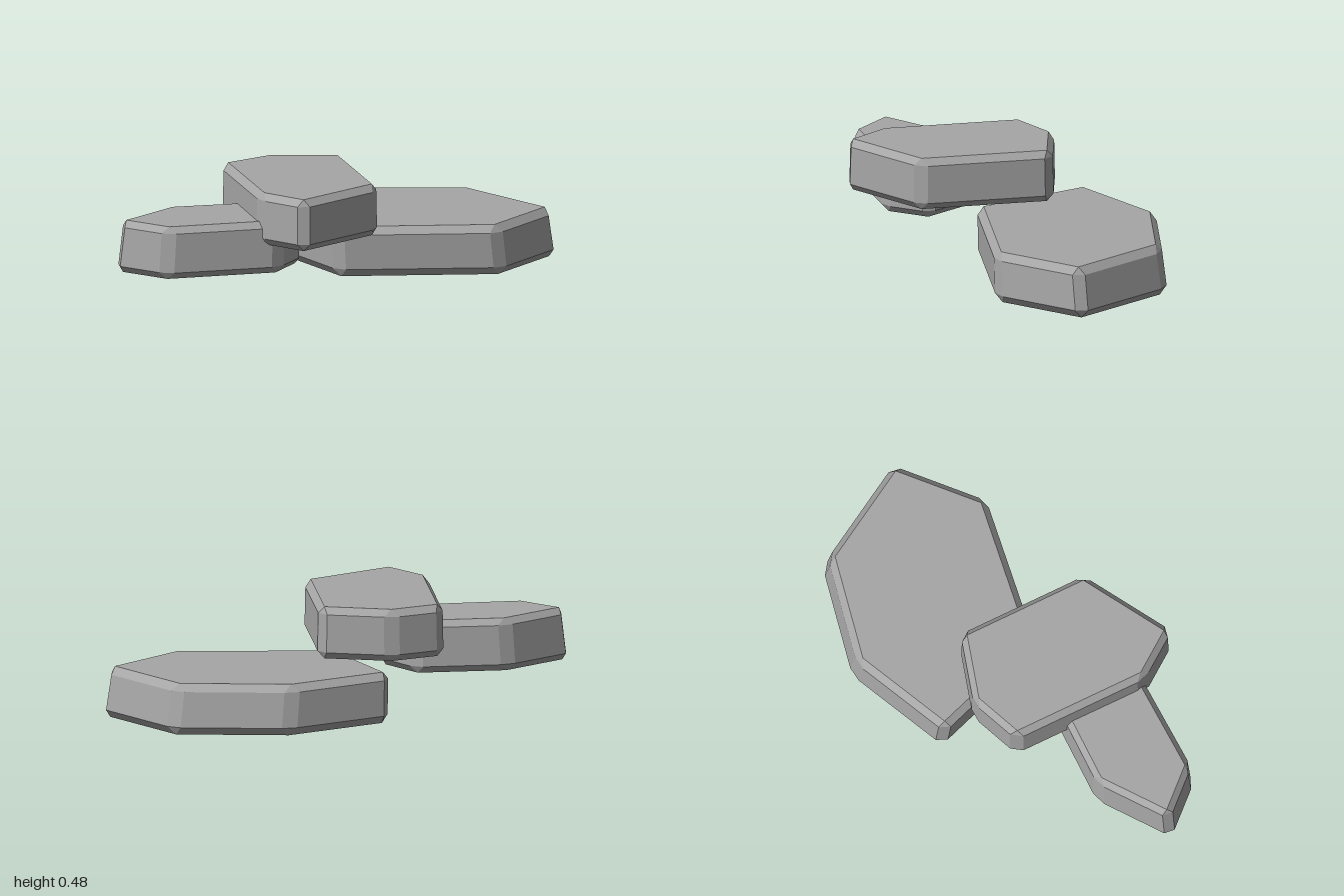
import * as THREE from 'three';

const stoneGrey = new THREE.MeshStandardMaterial({ color: 0xa6a6a6 });
stoneGrey.name = 'stoneGrey';

// Move every edge of a convex outline inwards by d
function inset(pts, d) {
  const n = pts.length;
  return pts.map((p, i) => {
    const a = p.clone().sub(pts[(i + n - 1) % n]).normalize();
    const b = pts[(i + 1) % n].clone().sub(p).normalize();
    const na = new THREE.Vector2(a.y, -a.x);
    const nb = new THREE.Vector2(b.y, -b.x);
    return na.clone().add(nb).multiplyScalar(d / (1 + na.dot(nb))).add(p);
  });
}

// Replace each corner by two points, c along its edges
function cutCorners(pts, c) {
  const n = pts.length;
  return pts.flatMap((p, i) => [pts[(i + n - 1) % n], pts[(i + 1) % n]].map((q) =>
    p.clone().add(q.clone().sub(p).setLength(c))));
}

// Slab with bevelled rims and chamfered corners
function stone(name, { outline, levels, insets, cut, lean, slope }) {
  const base = outline.map(([x, z]) => new THREE.Vector2(x, z));
  const n = base.length;
  const rings = levels.map((y, k) => {
    let ring = inset(base, insets[k]);
    if (k === 1 || k === 2) ring = cutCorners(ring, cut);
    const s = k > 1 ? 1 : 0;
    return ring.map((p) => new THREE.Vector3(
      p.x + s * lean[0], y + slope[0] * p.x + slope[1] * p.y, p.y + s * lean[1]));
  });
  const [bottom, low, high, top] = rings;
  const verts = [];
  const tri = (...v) => v.forEach((p) => verts.push(p.x, p.y, p.z));
  const quad = (a, b, c, d) => { tri(a, b, c); tri(a, c, d); };

  for (let i = 0; i < n; i++) {
    const j = (i + 1) % n;
    const a = 2 * i, b = 2 * i + 1, c = 2 * j;
    quad(low[a], low[b], high[b], high[a]); // corner strip
    quad(low[b], low[c], high[c], high[b]); // side
    tri(high[a], high[b], top[i]); // corner tips
    tri(low[b], low[a], bottom[i]);
    quad(high[b], high[c], top[j], top[i]); // bevels
    quad(bottom[i], bottom[j], low[c], low[b]);
    if (i > 0 && i < n - 1) { // caps
      tri(top[0], top[i], top[j]);
      tri(bottom[0], bottom[j], bottom[i]);
    }
  }
  const geo = new THREE.BufferGeometry();
  geo.setAttribute('position', new THREE.Float32BufferAttribute(verts, 3));
  geo.computeVertexNormals();
  const mesh = new THREE.Mesh(geo, stoneGrey);
  mesh.name = name;
  return mesh;
}

export function createModel() {
  const group = new THREE.Group();
  group.name = 'steppingStones';
  group.add(
    stone('largeStone', {
      outline: [[-0.18, -0.415], [0, 0.115], [0.69, 0.22], [1.015, -0.07], [0.76, -0.51], [0.27, -0.615]],
      levels: [0.015, 0.05, 0.2, 0.232],
      insets: [0.03, 0, 0.008, 0.036], cut: 0.035, lean: [-0.013, 0.008], slope: [-0.014, 0],
    }),
    stone('middleStone', {
      outline: [[-0.43, -0.19], [-0.43, 0.42], [-0.285, 0.62], [0.105, 0.395], [0.105, -0.19], [-0.2, -0.28]],
      levels: [0.255, 0.285, 0.448, 0.478],
      insets: [0.028, 0, 0.003, 0.028], cut: 0.035, lean: [0, 0], slope: [0, 0.011],
    }),
    stone('smallStone', {
      outline: [[-1.02, 0.25], [-0.84, 0.445], [-0.34, 0.435], [-0.195, 0.27], [-0.33, 0.045], [-0.73, 0.04]],
      levels: [0.128, 0.158, 0.325, 0.353],
      insets: [0.028, 0, 0.008, 0.032], cut: 0.035, lean: [0.008, 0], slope: [-0.01, 0],
    }),
  );
  return group;
}
